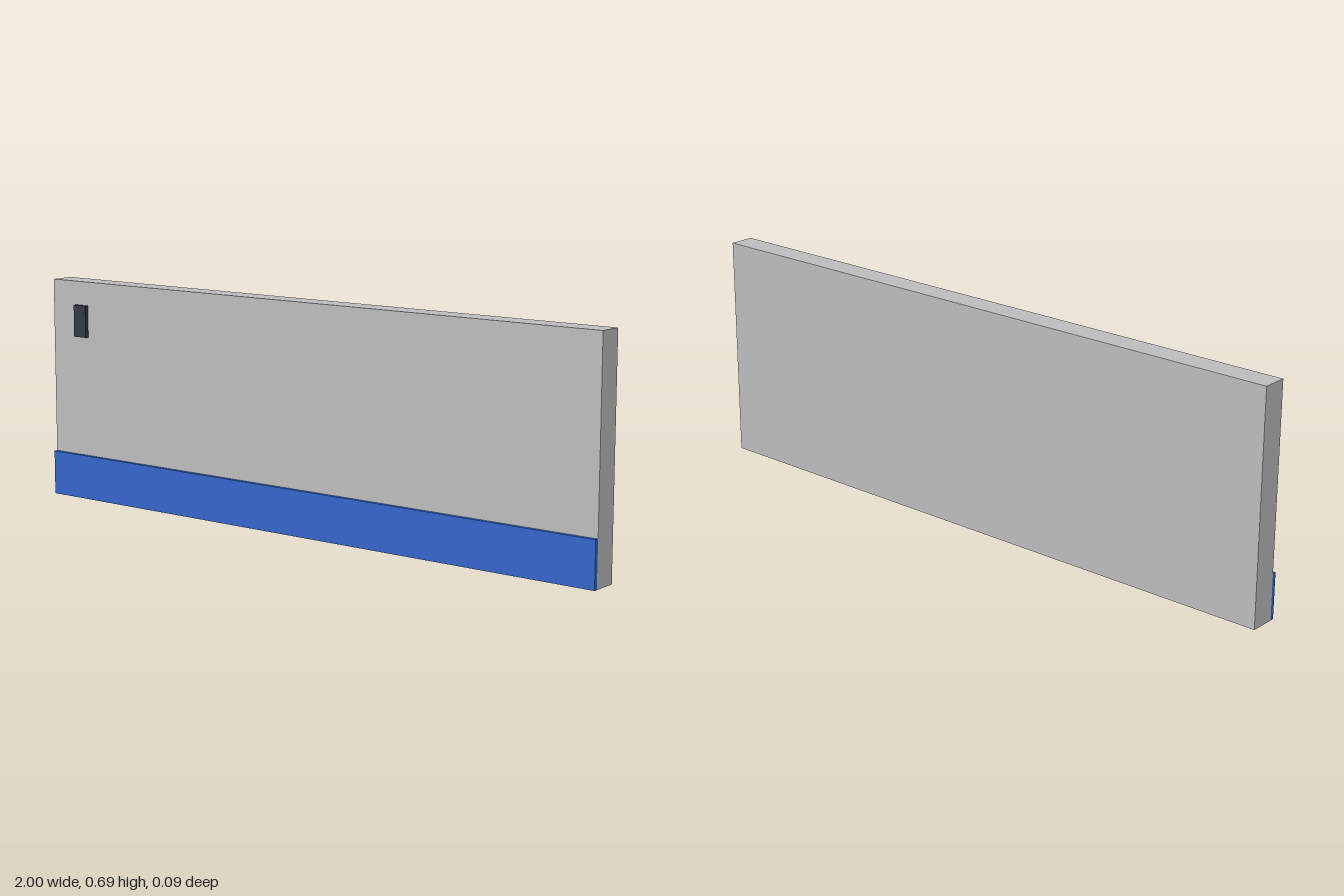
import * as THREE from 'three';

export function createModel() {
  const model = new THREE.Group();
  model.name = 'panel';

  const grey = new THREE.MeshStandardMaterial({ color: 0xbdbdbf });
  grey.name = 'light grey';
  const blue = new THREE.MeshStandardMaterial({ color: 0x3366cc });
  blue.name = 'blue';
  const dark = new THREE.MeshStandardMaterial({ color: 0x343a40 });
  dark.name = 'dark grey';

  // Box given by its lower and upper corners
  function addBox(name, material, [x0, y0, z0], [x1, y1, z1]) {
    const geometry = new THREE.BoxGeometry(x1 - x0, y1 - y0, z1 - z0);
    const mesh = new THREE.Mesh(geometry, material);
    mesh.position.set((x0 + x1) / 2, (y0 + y1) / 2, (z0 + z1) / 2);
    mesh.name = name;
    model.add(mesh);
  }

  const face = 0.032; // front face of the board
  const proud = 0.044; // front of the raised parts

  addBox('board', grey, [-1, 0, -0.044], [1, 0.688, face]);
  addBox('lowerBand', blue, [-1, 0, face], [1, 0.138, proud]);
  addBox('handle', dark, [-0.902, 0.514, face], [-0.852, 0.614, proud]);

  return model;
}
